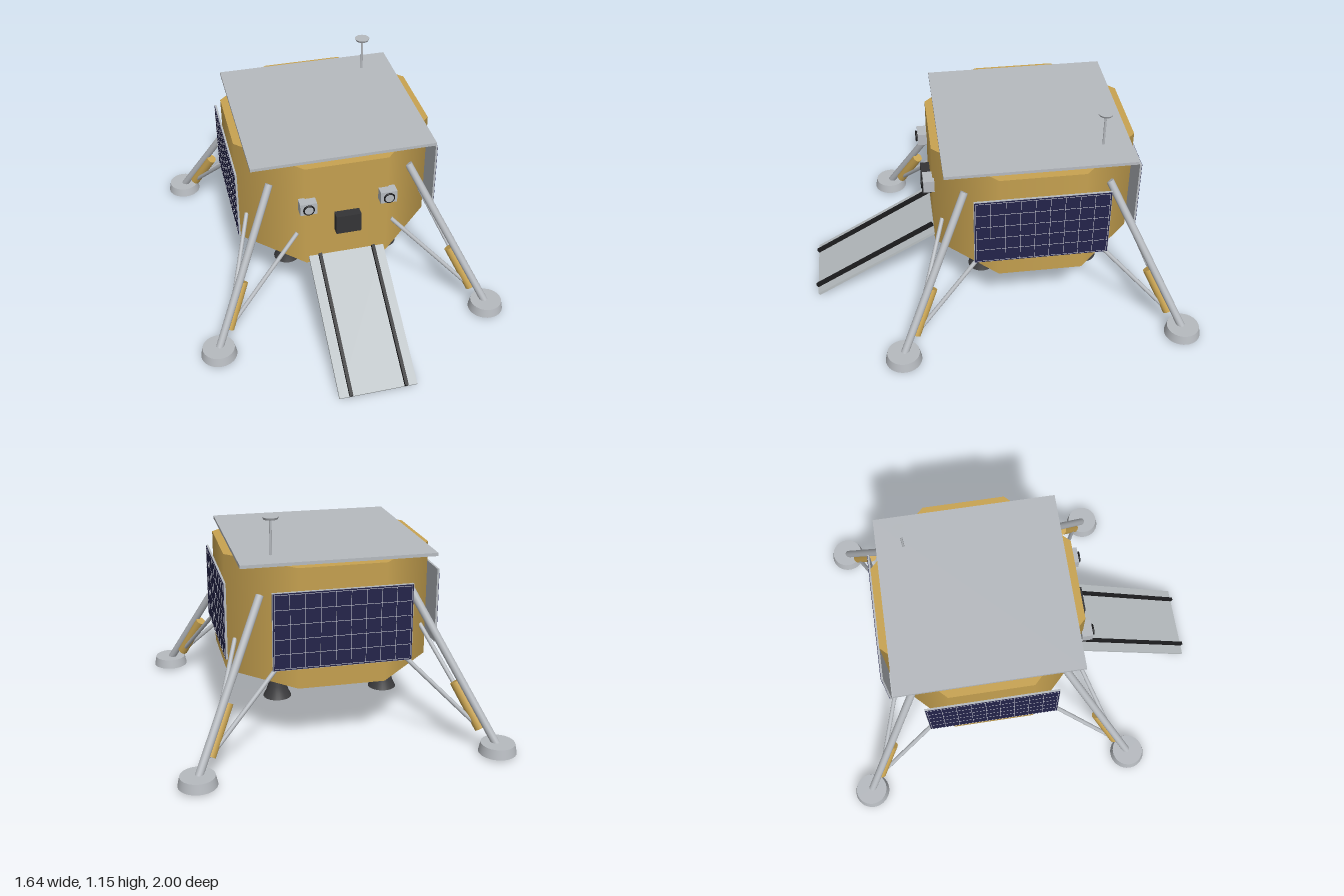
import * as THREE from 'three';

const mat = (name, color, side = THREE.FrontSide) => {
  const m = new THREE.MeshStandardMaterial({ color, side });
  m.name = name;
  return m;
};

export function createModel() {
  const gold = mat('gold foil', 0xc8a351);
  const grey = mat('light grey metal', 0xb6babf);
  const rampGrey = mat('ramp grey', 0xb8bec1);
  const navy = mat('solar navy', 0x24244a);
  const line = mat('cell line', 0xd8dae0);
  const dark = mat('dark grey', 0x343436);
  const nozzleDark = mat('nozzle grey', 0x3c3c3e, THREE.DoubleSide);
  const black = mat('black', 0x1c1c1e);

  const model = new THREE.Group();
  model.name = 'lander';
  // everything but the ramp is symmetric about the body's axis
  const craft = new THREE.Group();
  craft.name = 'craft';
  craft.position.z = -0.18;
  model.add(craft);

  const add = (parent, name, geometry, material, x = 0, y = 0, z = 0) => {
    const mesh = new THREE.Mesh(geometry, material);
    mesh.name = name;
    mesh.position.set(x, y, z);
    parent.add(mesh);
    return mesh;
  };
  const box = (w, h, d) => new THREE.BoxGeometry(w, h, d);
  const V = (x, y, z) => new THREE.Vector3(x, y, z);
  const rod = (parent, name, a, b, r, material) => {
    const dir = b.clone().sub(a);
    const mesh = add(parent, name, new THREE.CylinderGeometry(r, r, dir.length(), 16), material);
    mesh.position.copy(a).add(b).multiplyScalar(0.5);
    mesh.quaternion.setFromUnitVectors(V(0, 1, 0), dir.normalize());
    return mesh;
  };

  // octagonal body and square top deck
  const apothem = 0.515;
  const R = apothem / Math.cos(Math.PI / 8);
  add(craft, 'body', new THREE.CylinderGeometry(R, R, 0.6, 8).rotateY(Math.PI / 8), gold, 0, 0.643, 0);
  add(craft, 'topDeck', box(0.95, 0.016, 0.95), grey, 0, 0.952, 0);

  // antenna
  add(craft, 'antennaMast', new THREE.CylinderGeometry(0.006, 0.006, 0.18, 10), grey, 0.306, 1.05, -0.335);
  add(craft, 'antennaDish', new THREE.CylinderGeometry(0.04, 0.034, 0.012, 24), grey, 0.306, 1.14, -0.335);

  // four legs, mirrored into each corner
  for (const sx of [-1, 1]) for (const sz of [-1, 1]) {
    const leg = new THREE.Group();
    leg.name = 'leg';
    craft.add(leg);
    const P = (x, y, z) => V(sx * x, y, sz * z);
    rod(leg, 'mainStrut', P(0.368, 0.775, 0.368), P(0.722, 0.05, 0.722), 0.02, grey);
    rod(leg, 'shockAbsorber', P(0.558, 0.325, 0.558), P(0.66, 0.11, 0.66), 0.027, gold);
    const joint = P(0.66, 0.11, 0.66);
    rod(leg, 'sideStrut', P(0.25, 0.52, 0.475), joint, 0.011, grey);
    rod(leg, 'sideStrut', P(0.475, 0.52, 0.25), joint, 0.011, grey);
    add(leg, 'footPad', new THREE.CylinderGeometry(0.083, 0.093, 0.048, 32), grey, sx * 0.728, 0.035, sz * 0.728);
  }

  // engine bells
  const bell = [[0.001, 0.35], [0.032, 0.35], [0.036, 0.315], [0.045, 0.27], [0.056, 0.238], [0.07, 0.21]]
    .map(([r, y]) => new THREE.Vector2(r, y)).reverse();
  for (const x of [-0.272, 0.272]) for (const z of [-0.275, 0.275])
    add(craft, 'engineBell', new THREE.LatheGeometry(bell, 28), nozzleDark, x, 0, z);

  // solar panels on the left, right and back
  const W = 0.68, H = 0.385, cols = 9, rows = 5;
  const gridW = 0.66, gridH = 0.365;
  for (const angle of [Math.PI / 2, -Math.PI / 2, Math.PI]) {
    const panel = new THREE.Group();
    panel.name = 'solarPanel';
    panel.rotation.y = angle;
    craft.add(panel);
    add(panel, 'panelBacking', box(W, H, 0.01), grey, 0, 0.643, 0.529);
    add(panel, 'panelFace', box(W - 0.006, H - 0.006, 0.003), navy, 0, 0.643, 0.535);
    for (let i = 0; i <= cols; i++)
      add(panel, 'cellLine', box(0.002, gridH, 0.001), line, (i / cols - 0.5) * gridW, 0.643, 0.5368);
    for (let j = 0; j <= rows; j++)
      add(panel, 'cellLine', box(gridW, 0.002, 0.001), line, 0, 0.643 + (j / rows - 0.5) * gridH, 0.5368);
    // standoffs to the body
    for (const x of [-0.15, 0.15])
      add(panel, 'panelMount', box(0.03, 0.03, 0.016), grey, x, 0.643, 0.518);
  }

  // front cameras and hatch box
  for (const x of [-0.207, 0.207]) {
    const camera = new THREE.Group();
    camera.name = 'camera';
    camera.position.set(x, 0.731, 0.535);
    craft.add(camera);
    add(camera, 'cameraBox', box(0.086, 0.066, 0.056), grey);
    add(camera, 'lensBarrel', new THREE.CylinderGeometry(0.024, 0.024, 0.012, 24).rotateX(Math.PI / 2), grey, 0, 0, 0.032);
    add(camera, 'lensRing', new THREE.TorusGeometry(0.025, 0.005, 8, 28), black, 0, 0, 0.034);
  }
  add(craft, 'instrumentBox', box(0.13, 0.108, 0.055), dark, 0, 0.6, 0.536);

  // sloped ramp with two rails
  const ramp = new THREE.Group();
  ramp.name = 'ramp';
  ramp.position.set(0, 0.194, 0.659);
  ramp.rotation.x = Math.PI / 6;
  model.add(ramp);
  add(ramp, 'rampPlate', box(0.4, 0.015, 0.75), rampGrey);
  for (const x of [-0.142, 0.142]) add(ramp, 'rampRail', box(0.017, 0.02, 0.75), black, x, 0.0175, 0);

  return model;
}
